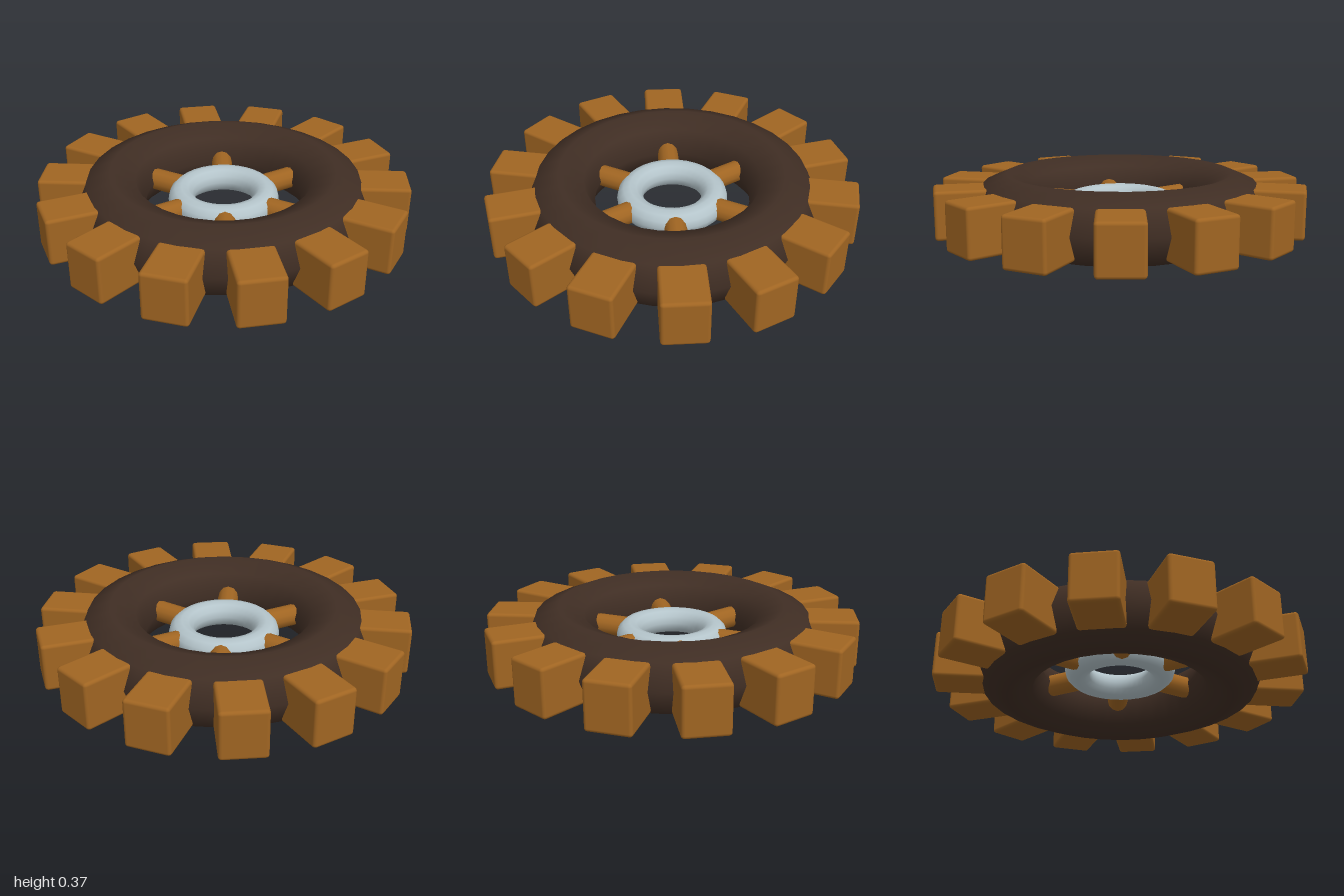
import * as THREE from 'three';
import { RoundedBoxGeometry } from 'three/addons/geometries/RoundedBoxGeometry.js';

const MID_Y = 0.185;

function material(name, color) {
  const m = new THREE.MeshStandardMaterial({ color });
  m.name = name;
  return m;
}

export function createModel() {
  const model = new THREE.Group();
  model.name = 'cogWheel';
  const wood = material('warm wood', 0xa06522);
  const darkWood = material('dark wood', 0x402e24);
  const steel = material('pale steel', 0xb4c4ca);

  // Places a mesh at a radius, turned so its local x points outwards
  function addRadial(name, geometry, mat, radius, angle) {
    const mesh = new THREE.Mesh(geometry, mat);
    mesh.name = name;
    mesh.position.set(Math.cos(angle) * radius, MID_Y, -Math.sin(angle) * radius);
    mesh.rotation.y = angle;
    model.add(mesh);
  }

  // Horizontal ring
  function addRing(name, radius, tube, sides, segments, mat) {
    const geometry = new THREE.TorusGeometry(radius, tube, sides, segments).rotateX(Math.PI / 2);
    const mesh = new THREE.Mesh(geometry, mat);
    mesh.name = name;
    mesh.position.y = MID_Y;
    model.add(mesh);
  }

  // Thick rim with an eight-sided section, and the hub ring
  addRing('rim', 0.61, 0.185, 8, 32, darkWood);
  addRing('hub', 0.232, 0.072, 12, 32, steel);

  // Six round spokes between hub and rim
  const spoke = new THREE.CylinderGeometry(0.06, 0.06, 0.27, 12).rotateZ(Math.PI / 2);
  for (let i = 0; i < 6; i++) addRadial('spoke', spoke, wood, 0.375, (i * Math.PI) / 3);

  // Fourteen bevelled teeth sunk into the rim
  const tooth = new RoundedBoxGeometry(0.28, 0.26, 0.235, 2, 0.018);
  for (let i = 0; i < 14; i++) addRadial('tooth', tooth, wood, 0.86, (i * Math.PI * 2) / 14);

  return model;
}
